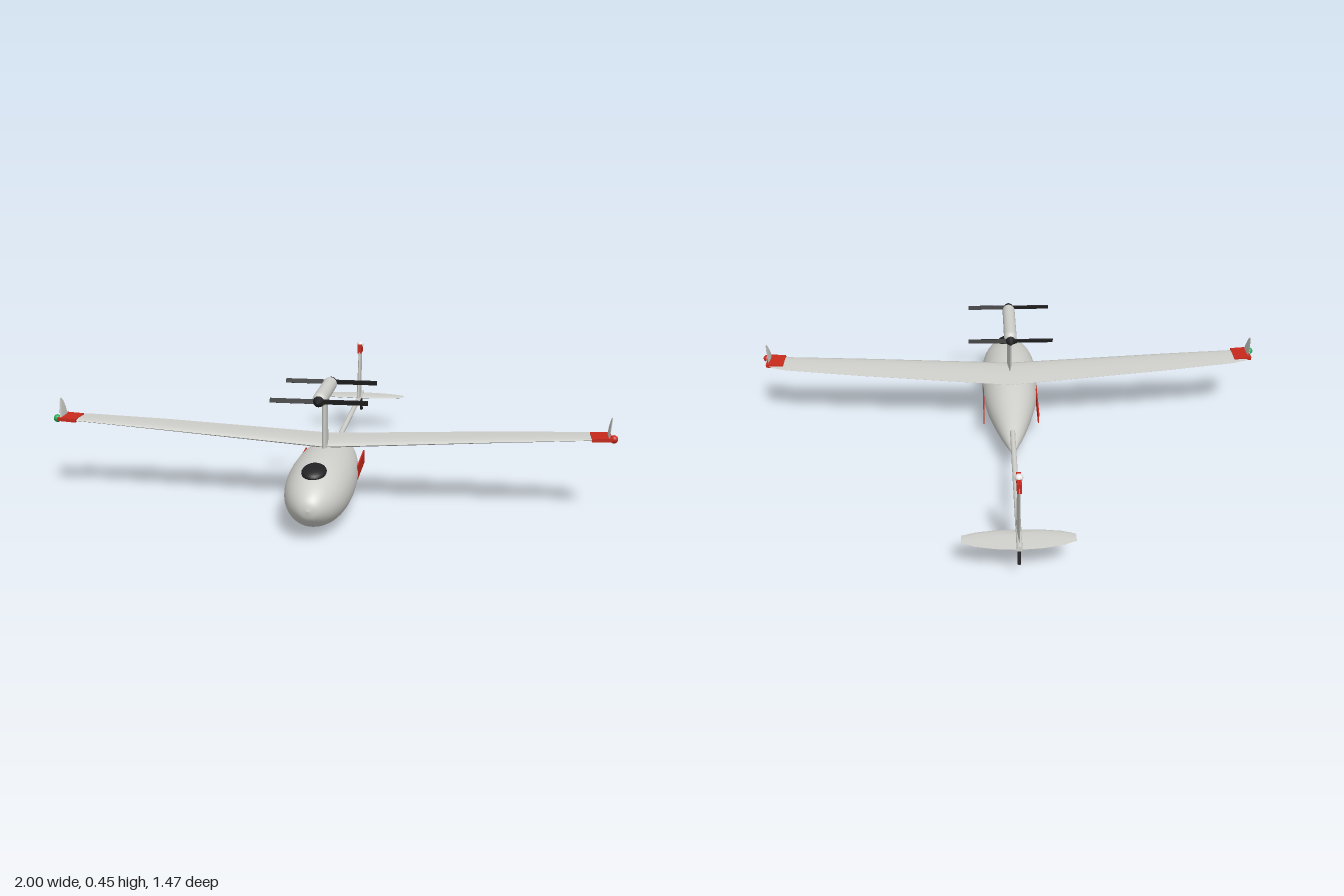
import * as THREE from 'three';
import { toCreasedNormals } from 'three/addons/utils/BufferGeometryUtils.js';

const paint = (name, color) => Object.assign(new THREE.MeshStandardMaterial({ color }), { name });

// Lofted aerofoil spanning x. Each section: [x, leading z, trailing z, mid y, thickness]
function aerofoil(sections) {
  const upper = [[0, 0], [0.03, 0.45], [0.12, 0.8], [0.3, 1], [0.55, 0.8], [0.8, 0.4], [1, 0.04]];
  const ring = [...upper, ...upper.slice(1).reverse().map(([c, t]) => [c, -t])];
  const n = ring.length, pos = [], idx = [];
  for (const [x, lead, trail, y, thick] of sections)
    for (const [c, t] of ring) pos.push(x, y + t * thick / 2, lead + (trail - lead) * c);
  for (let i = 0; i < sections.length - 1; i++)
    for (let j = 0; j < n; j++) {
      const a = i * n + j, b = i * n + (j + 1) % n, c = b + n, d = a + n;
      idx.push(a, d, c, a, c, b);
    }
  const end = (sections.length - 1) * n;
  for (let j = 1; j < n - 1; j++) idx.push(0, j, j + 1, end, end + j + 1, end + j);
  const g = new THREE.BufferGeometry();
  g.setAttribute('position', new THREE.Float32BufferAttribute(pos, 3));
  g.setIndex(idx);
  return toCreasedNormals(g, 0.7);
}
// Same loft standing upright: span runs up y, and the offset runs toward -x
const upright = (sections) => aerofoil(sections).rotateZ(Math.PI / 2);

export function createModel() {
  const model = new THREE.Group();
  model.name = 'motorGlider';
  const white = paint('bodyGrey', 0xcfcfcb);
  const red = paint('markingRed', 0xc82a1c);
  const black = paint('black', 0x222224);
  const green = paint('lampGreen', 0x1fae55);
  const lampWhite = paint('lampWhite', 0xeeeeee);

  const add = (name, geo, mat, x = 0, y = 0, z = 0, parent = model) => {
    const m = new THREE.Mesh(geo, mat);
    m.name = name;
    m.position.set(x, y, z);
    parent.add(m);
    return m;
  };
  const ellipsoid = (rx, ry, rz) => new THREE.SphereGeometry(1, 24, 14).scale(rx, ry, rz);

  // Teardrop fuselage
  const profile = new THREE.SplineCurve([
    [0, -0.14], [0.02, -0.075], [0.044, 0], [0.07, 0.1], [0.092, 0.2], [0.106, 0.3], [0.112, 0.42],
    [0.109, 0.52], [0.098, 0.6], [0.079, 0.66], [0.056, 0.7], [0.03, 0.726], [0, 0.735],
  ].map(([r, z]) => new THREE.Vector2(r, z))).getPoints(48);
  profile.forEach((p) => { p.x = Math.max(p.x, 0); });
  add('fuselage', new THREE.LatheGeometry(profile, 36).rotateX(Math.PI / 2).scale(1.04, 1, 1), white, 0, 0.122, 0);

  // Dark canopy set into the nose
  add('canopy', ellipsoid(0.042, 0.02, 0.054), black, 0, 0.214, 0.603).rotation.x = 0.17;

  // Wing with dihedral, tapering to the tips
  const half = [[0.6, 0.367, 0.228, 0.27, 0.014], [0.9, 0.36, 0.253, 0.287, 0.009],
    [0.955, 0.358, 0.268, 0.29, 0.007], [0.985, 0.352, 0.29, 0.292, 0.004]];
  add('wing', aerofoil([
    ...half.map(([x, ...rest]) => [-x, ...rest]).reverse(),
    [0, 0.378, 0.2, 0.233, 0.022],
    ...half,
  ]), white);

  for (const s of [-1, 1]) {
    const side = s > 0 ? 'left' : 'right';
    // Wing tip band, winglet and lamp
    add(side + 'TipBand', new THREE.BoxGeometry(0.068, 0.012, 0.088), red, s * 0.946, 0.29, 0.322).rotation.z = s * 0.06;
    add(side + 'Winglet', upright([
      [0.286, 0.366, 0.29, -s * 0.969, 0.005], [0.325, 0.353, 0.298, -s * 0.973, 0.005],
      [0.35, 0.342, 0.308, -s * 0.977, 0.004], [0.361, 0.333, 0.318, -s * 0.979, 0.003],
    ]), white);
    add(side + 'Lamp', new THREE.SphereGeometry(0.014, 16, 12), s > 0 ? red : green, s * 0.986, 0.291, 0.346);
    // Flat side panel and belly pod
    add(side + 'SidePanel', new THREE.BoxGeometry(0.005, 0.048, 0.215), red, s * 0.109, 0.124, 0.2275);
    add(side + 'BellyPod', ellipsoid(0.037, 0.022, 0.067), red, s * 0.038, 0.031, 0.263);
  }
  add('bellyFairing', ellipsoid(0.03, 0.016, 0.055), red, 0, 0.022, 0.38);

  // Pylon and engine nacelle above the wing
  add('pylon', upright([[0.21, 0.403, 0.29, 0, 0.02], [0.3, 0.402, 0.292, 0, 0.018], [0.41, 0.394, 0.297, 0, 0.016]]), white);
  add('nacelle', new THREE.CapsuleGeometry(0.025, 0.228, 10, 20).rotateX(Math.PI / 2), white, 0, 0.427, 0.359);

  // Propellers at both ends of the nacelle
  for (const [name, z, dir] of [['front', 0.504, 1], ['rear', 0.21, -1]]) {
    const prop = new THREE.Group();
    prop.name = name + 'Propeller';
    prop.position.set(0, 0.427, z);
    model.add(prop);
    add('spinner', new THREE.ConeGeometry(0.019, 0.04, 16).rotateX(dir * Math.PI / 2), black, 0, 0, dir * 0.02, prop);
    for (const s of [-1, 1]) {
      const blade = add('blade', new THREE.BoxGeometry(0.165, 0.016, 0.005), black, s * 0.0825, 0, 0, prop);
      blade.rotation.x = s * 0.3;
    }
  }

  // Tail boom
  add('tailBoom', new THREE.CylinderGeometry(0.01, 0.01, 0.705, 16).rotateX(Math.PI / 2), white, 0, 0.16, -0.3825);

  // Tail fin with coloured cap and lamp
  add('fin', upright([
    [0.16, -0.563, -0.717, 0, 0.014], [0.355, -0.624, -0.717, 0, 0.012],
    [0.375, -0.63, -0.71, 0, 0.01], [0.392, -0.64, -0.695, 0, 0.006],
  ]), white);
  add('finCap', new THREE.BoxGeometry(0.016, 0.036, 0.072), red, 0, 0.377, -0.664);
  add('finLamp', new THREE.SphereGeometry(0.014, 16, 12), lampWhite, 0, 0.394, -0.658);

  // Tailplane
  const tail = [[0.08, -0.631, -0.729, 0.158, 0.009], [0.145, -0.64, -0.715, 0.158, 0.007], [0.192, -0.656, -0.694, 0.158, 0.004]];
  add('tailplane', aerofoil([
    ...tail.map(([x, ...rest]) => [-x, ...rest]).reverse(),
    [0, -0.627, -0.735, 0.158, 0.01],
    ...tail,
  ]), white);

  // Tail skid
  add('tailSkid', new THREE.CylinderGeometry(0.006, 0.006, 0.078, 10), black, 0, 0.121, -0.709).rotation.x = 0.25;

  return model;
}
